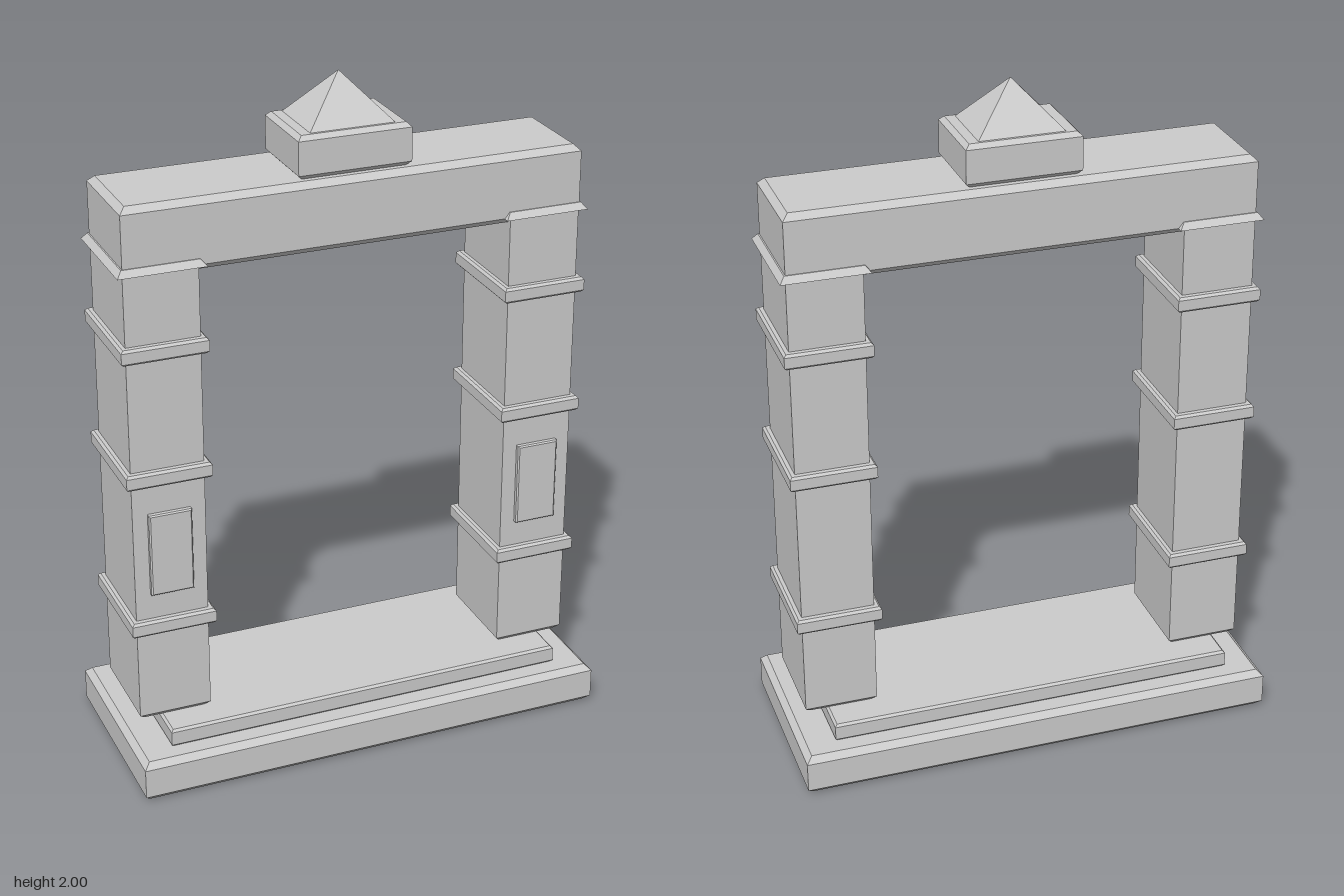
import * as THREE from 'three';

// Solid lofted through rectangular rings [halfX, halfZ, y], listed bottom to top
function loft(rings) {
  const corners = [[1, 1], [1, -1], [-1, -1], [-1, 1]];
  const pos = [], idx = [];
  for (const [hx, hz, y] of rings)
    for (const [sx, sz] of corners) pos.push(sx * hx, y, sz * hz);
  for (let r = 0; r < rings.length - 1; r++) {
    for (let i = 0; i < 4; i++) {
      const a = r * 4 + i, b = r * 4 + (i + 1) % 4;
      idx.push(a, b, b + 4, a, b + 4, a + 4);
    }
  }
  const t = (rings.length - 1) * 4;
  idx.push(0, 2, 1, 0, 3, 2, t, t + 1, t + 2, t, t + 2, t + 3);
  const geo = new THREE.BufferGeometry();
  geo.setAttribute('position', new THREE.Float32BufferAttribute(pos, 3));
  geo.setIndex(idx);
  const flat = geo.toNonIndexed();
  flat.computeVertexNormals();
  return flat;
}

// Block with bevelled top and bottom rims and sharp upright corners
function block(hx, hz, y0, y1, c) {
  return loft([
    [hx - c, hz - c, y0], [hx, hz, y0 + c],
    [hx, hz, y1 - c], [hx - c, hz - c, y1],
  ]);
}

export function createModel() {
  const model = new THREE.Group();
  model.name = 'gateway';
  const stone = new THREE.MeshStandardMaterial({ color: 0xcccccc, flatShading: true });
  const add = (parent, name, geo) => {
    const mesh = new THREE.Mesh(geo, stone);
    mesh.name = name;
    parent.add(mesh);
    return mesh;
  };

  // Stepped base
  add(model, 'base', block(0.712, 0.293, 0, 0.125, 0.018));
  add(model, 'step', block(0.61, 0.23, 0.125, 0.18, 0.007));

  // Pillars with bands, a front panel and a flared capital
  for (const [side, name] of [[1, 'leftPillar'], [-1, 'rightPillar']]) {
    const pillar = new THREE.Group();
    pillar.name = name;
    pillar.position.x = side * 0.568;
    model.add(pillar);
    add(pillar, 'shaft', block(0.107, 0.145, 0.178, 1.57, 0.017));
    for (const y of [0.488, 0.953, 1.328])
      add(pillar, 'band', block(0.125, 0.166, y - 0.023, y + 0.023, 0.007));
    add(pillar, 'capital', loft([[0.126, 0.165, 1.557], [0.111, 0.15, 1.576]]));
    const panel = add(pillar, 'panel', block(0.063, 0.126, -0.015, 0.015, 0.004));
    panel.rotation.x = Math.PI / 2;
    panel.position.set(0, 0.716, 0.146);
  }

  // Lintel
  add(model, 'lintel', block(0.675, 0.147, 1.54, 1.745, 0.018));

  // Finial: plinth and pyramid
  add(model, 'finialPlinth', block(0.166, 0.125, 1.745, 1.868, 0.013));
  const pyramid = new THREE.ConeGeometry(Math.SQRT2, 0.135, 4).rotateY(Math.PI / 4);
  pyramid.scale(0.127, 1, 0.106);
  add(model, 'finialPyramid', pyramid).position.y = 1.9325;

  return model;
}
